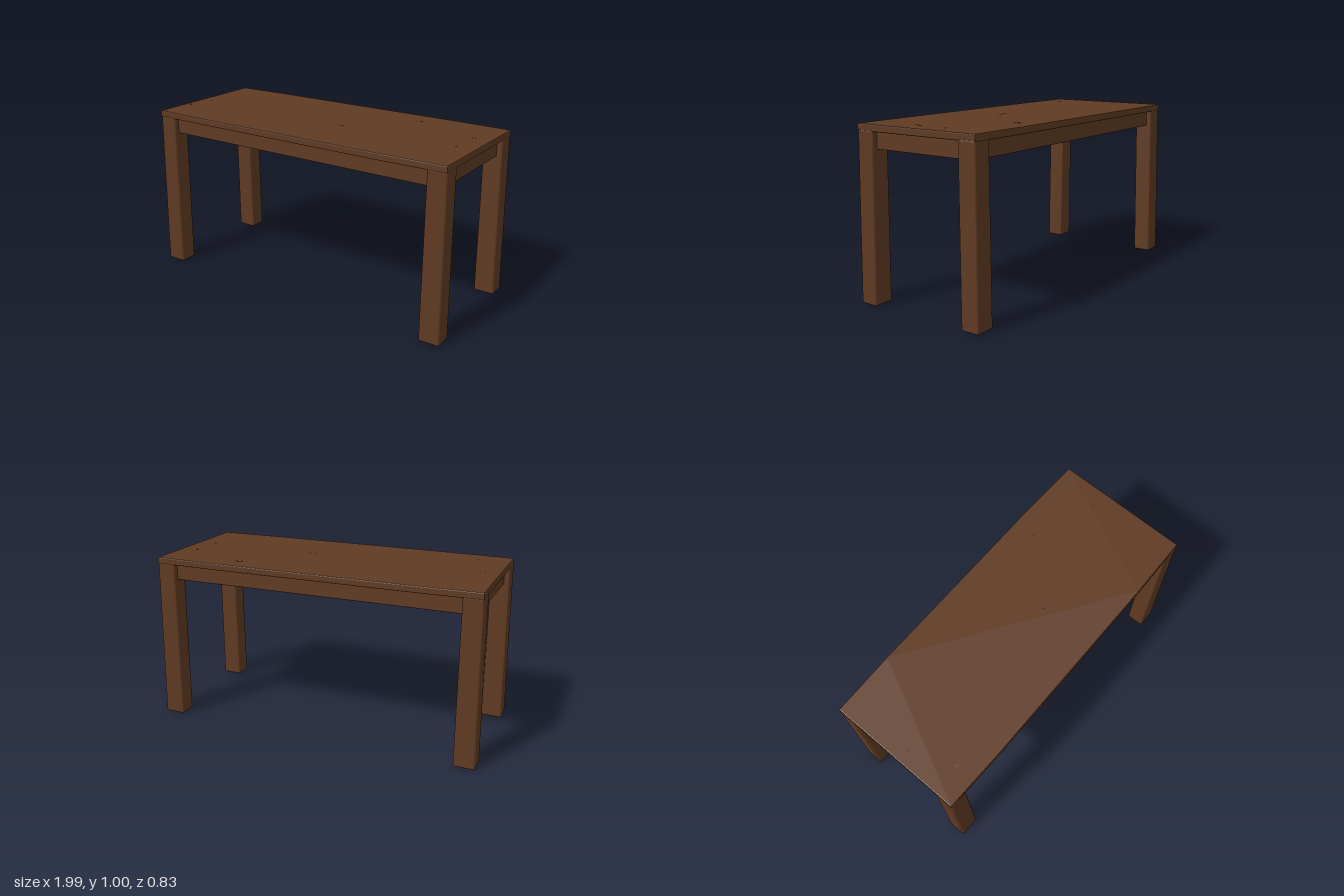
import * as THREE from 'three';
import { RoundedBoxGeometry } from 'three/addons/geometries/RoundedBoxGeometry.js';

export function createModel() {
  const group = new THREE.Group();
  const wood = new THREE.MeshStandardMaterial({ color: 0x5f3a22 });
  wood.name = 'brown wood';

  const add = (name, geometry, x = 0, y = 0, z = 0) => {
    const mesh = new THREE.Mesh(geometry, wood);
    mesh.name = name;
    mesh.position.set(x, y, z);
    group.add(mesh);
    return mesh;
  };

  // Tabletop: thin slab whose long edges bow out slightly in the middle
  const bevel = 0.006;
  const outline = [
    [-0.98, -0.4], [-0.6, -0.408], [0.6, -0.408], [0.98, -0.4],
    [0.98, 0.4], [0.6, 0.408], [-0.6, 0.408], [-0.98, 0.4],
  ].map(([x, z]) => new THREE.Vector2(x - Math.sign(x) * bevel * (Math.abs(x) > 0.9), z - Math.sign(z) * bevel));
  const top = new THREE.ExtrudeGeometry(new THREE.Shape(outline), {
    depth: 0.04 - 2 * bevel, bevelEnabled: true,
    bevelSize: bevel, bevelThickness: bevel, bevelSegments: 2,
  });
  top.rotateX(-Math.PI / 2);
  add('tabletop', top, 0, 0.96 + bevel, 0);

  // Legs: rounded posts, splayed outward a little towards the floor
  for (const sx of [-1, 1]) {
    for (const sz of [-1, 1]) {
      const leg = new RoundedBoxGeometry(0.12, 0.97, 0.11, 3, 0.012);
      leg.translate(0, 0.485, 0);
      const p = leg.attributes.position;
      for (let i = 0; i < p.count; i++) {
        const t = p.getY(i) / 0.97;
        const x = p.getX(i) * (1.04 - 0.09 * t) + sx * (0.932 - 0.007 * t);
        const z = p.getZ(i) + sz * (0.358 - 0.013 * t);
        p.setXYZ(i, x, p.getY(i), z);
      }
      add('leg', leg);
    }
  }

  // Aprons: rails between the legs, set back beneath the top
  for (const s of [-1, 1]) {
    add('longApron', new RoundedBoxGeometry(1.78, 0.1, 0.055, 2, 0.004), 0, 0.915, s * 0.342);
    add('shortApron', new RoundedBoxGeometry(0.055, 0.1, 0.62, 2, 0.004), s * 0.922, 0.915, 0);
  }

  // Knots: very thin raised ovals in the tabletop (x, z, half length, half width)
  const knots = [
    [0.49, -0.29, 0.028, 0.018], [0.14, 0.06, 0.016, 0.01], [0.18, 0.06, 0.01, 0.008],
    [0.88, -0.13, 0.01, 0.005], [0.865, 0.07, 0.006, 0.02],
    [-0.895, 0.03, 0.01, 0.007], [-0.8, 0.28, 0.01, 0.008], [-0.94, 0.18, 0.006, 0.005],
  ];
  for (const [x, z, a, b] of knots) {
    add('knot', new THREE.CylinderGeometry(1, 1, 0.002, 16), x, 1, z).scale.set(a, 1, b);
  }
  return group;
}
